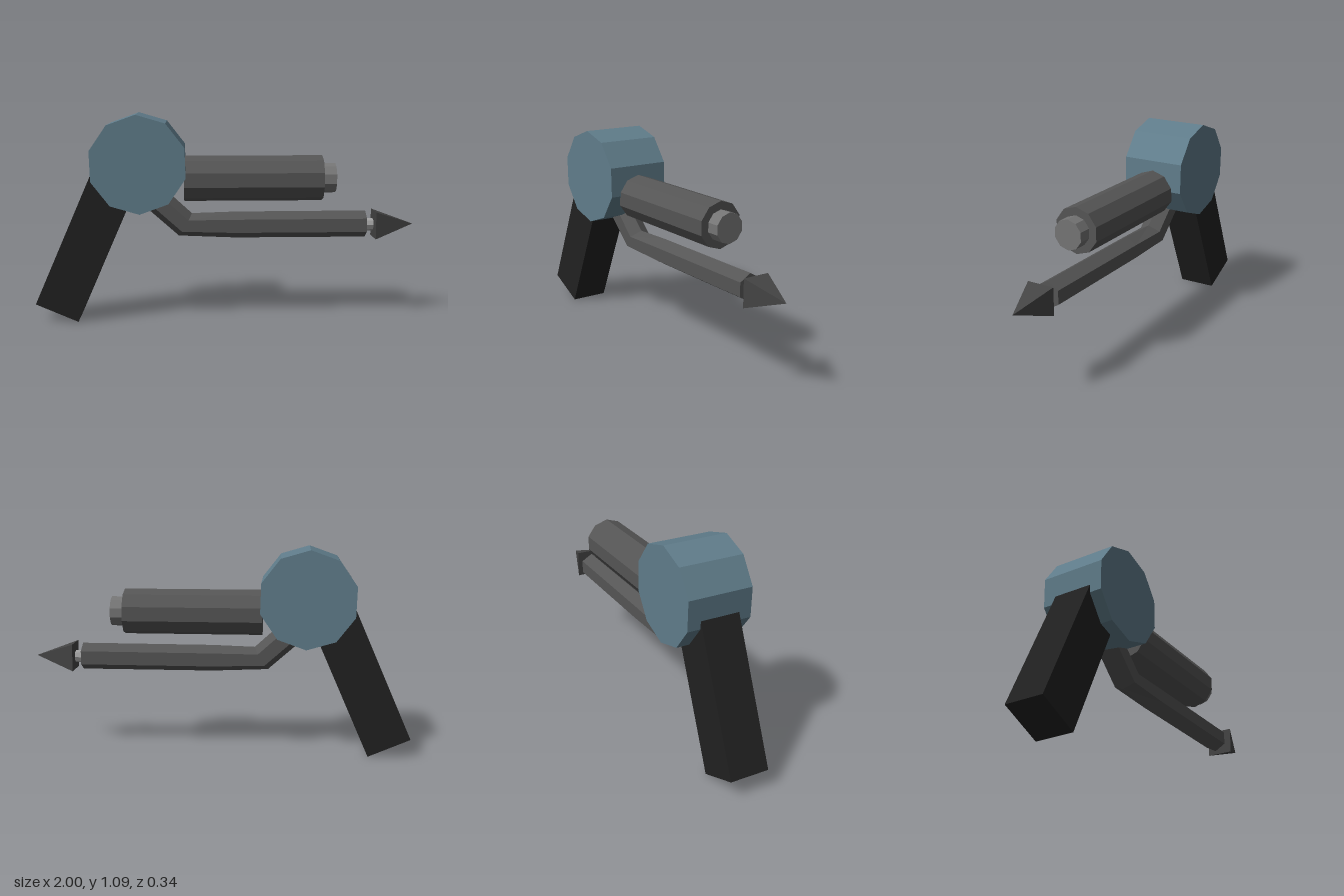
import * as THREE from 'three';
import { mergeVertices } from 'three/addons/utils/BufferGeometryUtils.js';

const mat = (color) => new THREE.MeshStandardMaterial({ color, flatShading: true });
const steel = mat(0x555555), lightSteel = mat(0x757575), pale = mat(0x9e9e9e);
const black = mat(0x212121), blue = mat(0x607d8b), dark = mat(0x444444);

// Faceted cylinder or cone lying along +x from x0 to x1
function rod(x0, x1, r0, r1, sides, start) {
  const g = new THREE.CylinderGeometry(r1, r0, x1 - x0, sides, 1, false, start);
  return g.rotateZ(-Math.PI / 2).translate((x0 + x1) / 2, 0, 0);
}

// Hexagonal tube through sections [centre x, centre y, ridge dx, ridge dy]
function hexTube(sections, halfDepth) {
  const pos = [], idx = [], n = 6;
  for (const [x, y, dx, dy] of sections)
    for (let i = 0; i < n; i++) {
      const a = (i / n) * Math.PI * 2, c = Math.cos(a), s = Math.sin(a);
      pos.push(x + dx * c, y + dy * c, s * halfDepth / Math.sin(Math.PI / 3));
    }
  const last = (sections.length - 1) * n;
  for (let k = 0; k < last; k += n)
    for (let i = 0; i < n; i++) {
      const a = k + i, b = k + (i + 1) % n;
      idx.push(a, b, a + n, b, b + n, a + n);
    }
  for (let i = 1; i < n - 1; i++) idx.push(0, i + 1, i, last, last + i, last + i + 1);
  const g = new THREE.BufferGeometry();
  g.setAttribute('position', new THREE.Float32BufferAttribute(pos, 3));
  // Wind every face outwards
  g.setIndex(idx);
  const flat = mergeVertices(g).toNonIndexed();
  flat.computeVertexNormals();
  return flat;
}

export function createModel() {
  const group = new THREE.Group();
  const add = (name, geometry, material, x = 0, y = 0, z = 0) => {
    const mesh = new THREE.Mesh(geometry, material);
    mesh.name = name;
    mesh.position.set(x, y, z);
    group.add(mesh);
    return mesh;
  };

  // Ten-sided drum body, axis along z
  const drum = new THREE.CylinderGeometry(0.254, 0.254, 0.34, 10).rotateX(Math.PI / 2);
  add('drum', drum, blue, -0.455, 0.837, 0).rotation.z = THREE.MathUtils.degToRad(1.7 + 180);

  // Slanted grip, its top buried in the drum
  const grip = new THREE.BoxGeometry(0.24, 0.8, 0.206).translate(0, 0.4, 0);
  add('grip', grip, black, -0.89, 0.053, 0.002).rotation.z = -0.415;

  // Upper barrel and muzzle
  add('barrel', rod(-0.22, 0.51, 0.12, 0.12, 10, Math.PI / 2), steel, 0, 0.75, 0);
  add('muzzle', rod(0.5, 0.58, 0.078, 0.078, 10, Math.PI / 2), lightSteel, 0, 0.75, 0);

  // Lower bent tube, with shaft and pointed head
  const tube = hexTube([
    [-0.415, 0.685, 0.047, 0.052],
    [-0.215, 0.505, 0.035, 0.06],
    [0.05, 0.502, 0, 0.07],
    [0.745, 0.503, 0, 0.071],
  ], 0.06);
  const tubeMesh = add('lowerTube', tube, steel, 0, 0, 0.004);
  tubeMesh.material = steel.clone();
  tubeMesh.material.side = THREE.DoubleSide;
  add('spikeShaft', rod(0.74, 0.785, 0.034, 0.034, 8, 0), pale, 0, 0.5, 0.006);
  add('spikeHead', rod(0.79, 1, 0.102, 0, 4, Math.PI / 4), dark, 0, 0.502, 0.009);

  return group;
}
